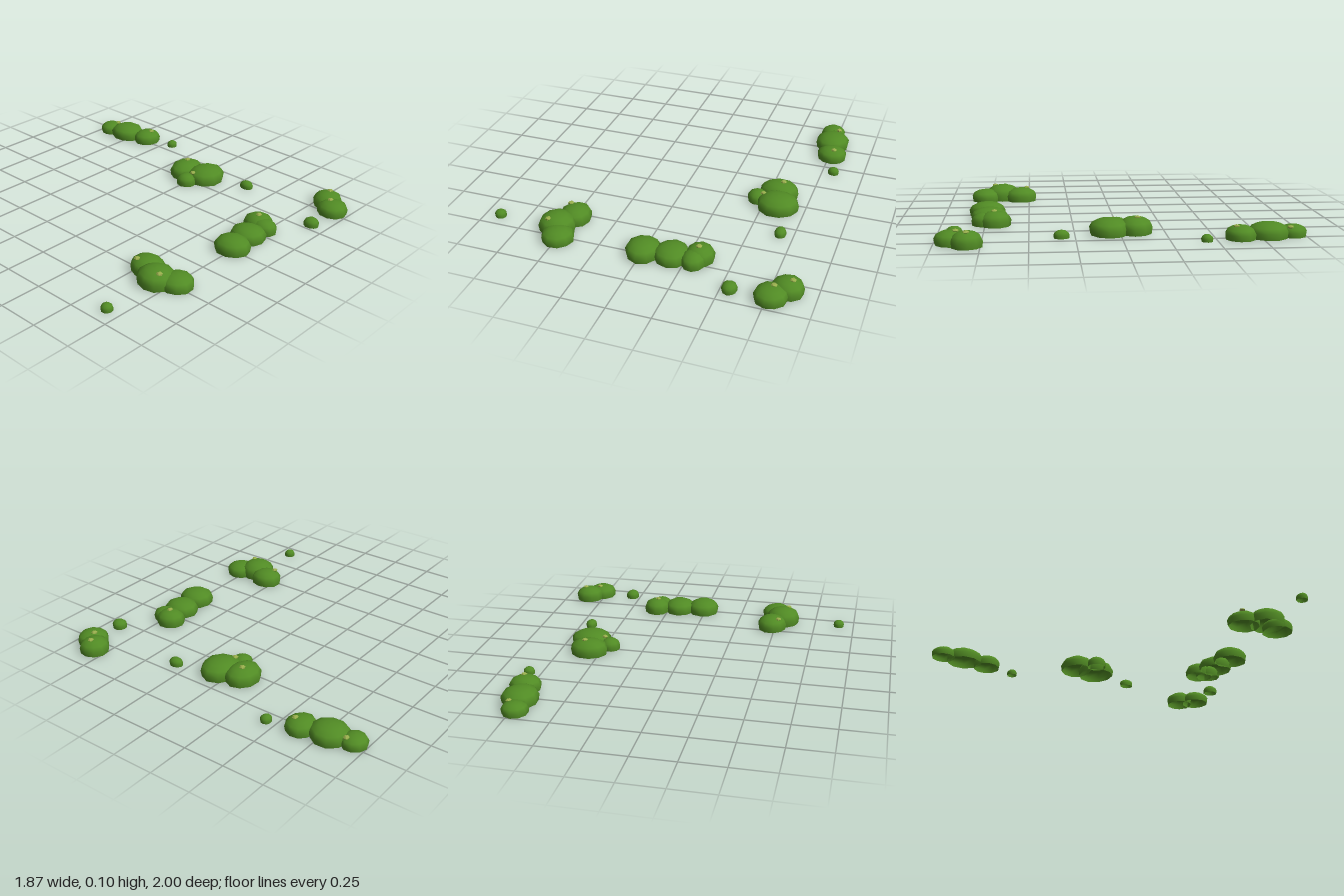
import * as THREE from 'three';

const leafGreen = new THREE.MeshStandardMaterial({ color: 0x518b24, side: THREE.DoubleSide });
leafGreen.name = 'leafGreen';
const budGreen = new THREE.MeshStandardMaterial({ color: 0x98ae4c });
budGreen.name = 'budGreen';

// Each dome: x, z, half width, half depth, height. Each bud: x, y, z.
const clumps = {
  backClump: {
    domes: [[0.72, -0.93, 0.077, 0.074, 0.066], [0.74, -0.79, 0.106, 0.114, 0.085], [0.77, -0.63, 0.093, 0.085, 0.076]],
    buds: [[0.76, 0.058, -0.905], [0.785, 0.073, -0.605]],
  },
  middleClump: {
    domes: [[0.565, -0.085, 0.117, 0.097, 0.09], [0.59, 0.06, 0.125, 0.113, 0.09], [0.455, 0.01, 0.06, 0.062, 0.066]],
    buds: [[0.585, 0.09, -0.095], [0.495, 0.067, 0.03]],
  },
  cornerClump: {
    domes: [[0.84, 0.82, 0.09, 0.086, 0.085], [0.77, 0.905, 0.092, 0.092, 0.076]],
    buds: [[0.865, 0.083, 0.82], [0.78, 0.074, 0.88]],
  },
  frontClump: {
    domes: [[0.01, 0.745, 0.1, 0.108, 0.085], [0.17, 0.73, 0.1, 0.107, 0.08],
      [0.32, 0.69, 0.083, 0.09, 0.085], [0.3, 0.745, 0.07, 0.08, 0.075]],
    buds: [[0.315, 0.085, 0.695]],
  },
  rightClump: {
    domes: [[-0.48, 0.55, 0.092, 0.1, 0.085], [-0.54, 0.67, 0.107, 0.108, 0.098], [-0.49, 0.775, 0.095, 0.094, 0.076]],
    buds: [[-0.525, 0.078, 0.515], [-0.57, 0.088, 0.72]],
  },
  seedlings: {
    domes: [[0.82, -0.44, 0.034, 0.032, 0.04], [0.675, 0.325, 0.034, 0.044, 0.045],
      [0.55, 0.905, 0.043, 0.047, 0.05], [-0.905, 0.667, 0.034, 0.034, 0.042]],
    buds: [],
  },
};

// Unit dome, open underneath, slightly tucked in at the ground
const profile = [[0.95, 0], [1, 0.4], [0.86, 0.7], [0.55, 0.91], [0.25, 0.985], [0, 1]]
  .map(([r, y]) => new THREE.Vector2(r, y));

function makeDome([x, z, rx, rz, h], index) {
  const geo = new THREE.LatheGeometry(profile, 10, index * 0.7);
  const p = geo.attributes.position;
  // Gentle uneven outline
  for (let i = 0; i < p.count; i++) {
    const a = Math.atan2(p.getZ(i), p.getX(i));
    const s = 1 + 0.025 * Math.sin(3 * a + index * 2);
    p.setX(i, p.getX(i) * s);
    p.setZ(i, p.getZ(i) * s);
  }
  geo.scale(rx, h, rz);
  const mesh = new THREE.Mesh(geo, leafGreen);
  mesh.position.set(x, 0, z);
  mesh.name = 'bushDome';
  return mesh;
}

function makeBud([x, y, z]) {
  const geo = new THREE.IcosahedronGeometry(0.019, 0);
  geo.scale(1, 0.55, 1);
  const mesh = new THREE.Mesh(geo, budGreen);
  mesh.position.set(x, y, z);
  mesh.name = 'bud';
  return mesh;
}

export function createModel() {
  const model = new THREE.Group();
  model.name = 'bushes';
  let index = 0;
  for (const [name, { domes, buds }] of Object.entries(clumps)) {
    const clump = new THREE.Group();
    clump.name = name;
    domes.forEach((d) => clump.add(makeDome(d, index++)));
    buds.forEach((b) => clump.add(makeBud(b)));
    model.add(clump);
  }
  return model;
}
